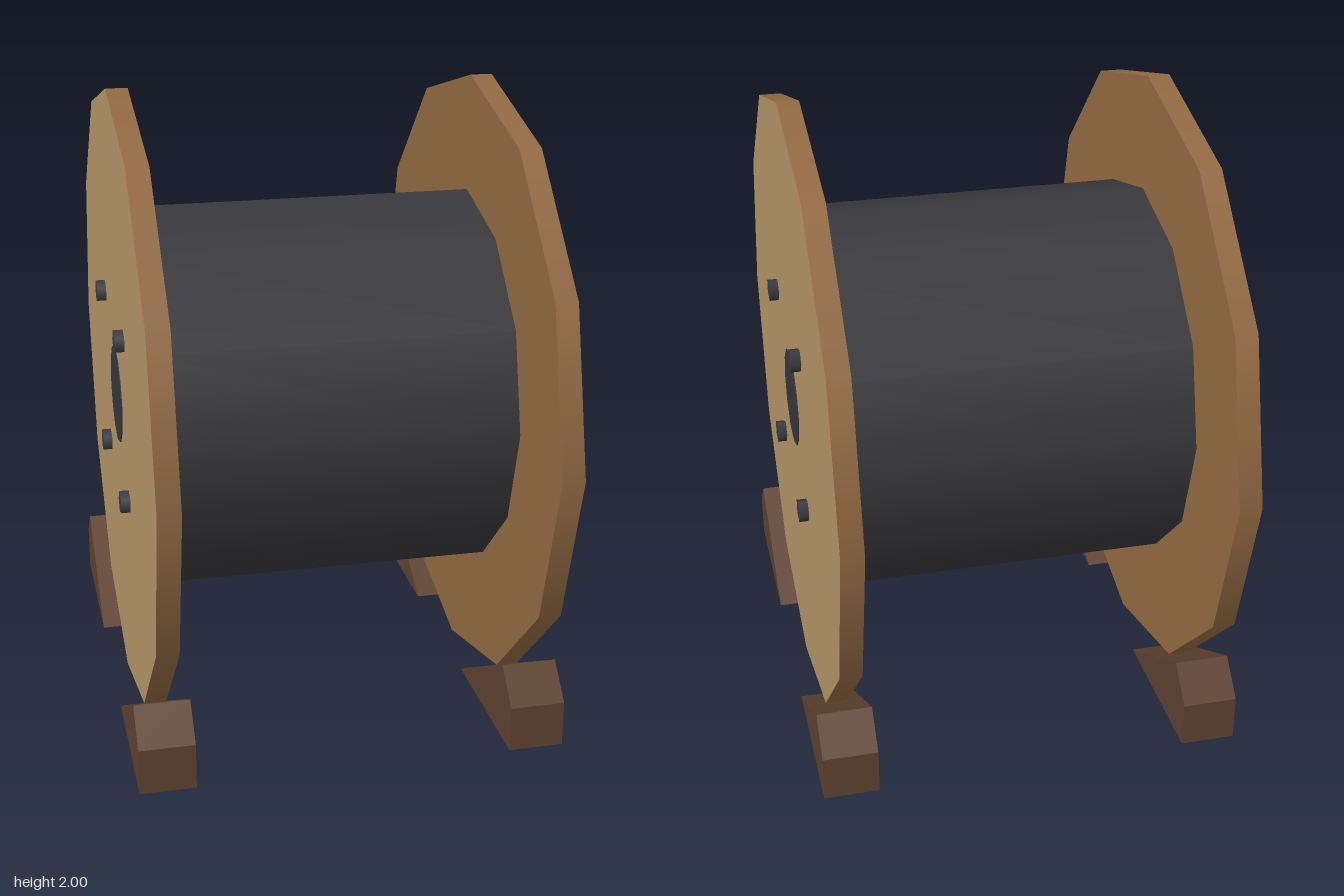
import * as THREE from 'three';

const material = (name, color) => {
  const m = new THREE.MeshStandardMaterial({ color });
  m.name = name;
  return m;
};

export function createModel() {
  const faceWood = material('light wood', 0xb59468);
  const edgeWood = material('brown wood', 0x936a43);
  const chockWood = material('dark wood', 0x5e4230);
  const cableBlack = material('cable black', 0x39393d);
  const hubDark = material('hub dark', 0x37353d);
  const boltSteel = material('bolt steel', 0x3a3c41);

  const model = new THREE.Group();
  model.name = 'cableReel';
  const reel = new THREE.Group();
  reel.name = 'reel';
  reel.position.y = 1;
  model.add(reel);

  const add = (parent, name, geometry, mat, x = 0, y = 0, z = 0) => {
    const mesh = new THREE.Mesh(geometry, mat);
    mesh.name = name;
    mesh.position.set(x, y, z);
    parent.add(mesh);
    return mesh;
  };

  // Cylinder lying along x; its top cap faces +x
  const axle = (radius, width, sides, start = 0) =>
    new THREE.CylinderGeometry(radius, radius, width, sides, 1, false, start).rotateZ(-Math.PI / 2);

  // Wound cable between the flanges
  add(reel, 'cableDrum', axle(0.625, 1.11, 12), cableBlack);

  // Wedge profile, drawn as z across and y up
  const wedge = new THREE.Shape([[0.275, 0], [0.8, 0], [0.8, 0.15], [0.7, 0.25]]
    .map(([z, y]) => new THREE.Vector2(z, y)));
  const chockGeometry = new THREE.ExtrudeGeometry(wedge, { depth: 0.175, bevelEnabled: false })
    .translate(0, 0, -0.0875)
    .rotateY(-Math.PI / 2);
  const flangeGeometry = axle(1, 0.07, 12);
  const hubGeometry = axle(0.16, 0.006, 12);
  const boltGeometry = axle(0.038, 0.04, 5, Math.PI);

  for (const side of [1, -1]) {
    const label = side > 0 ? 'left' : 'right';

    // Flange with a lighter outer face
    const caps = side > 0 ? [faceWood, edgeWood] : [edgeWood, faceWood];
    add(reel, label + 'Flange', flangeGeometry, [edgeWood, ...caps], side * 0.585);
    add(reel, label + 'Hub', hubGeometry, hubDark, side * 0.62);

    // Four bolts around the hub
    for (const y of [-0.269, 0.269])
      for (const z of [-0.269, 0.269])
        add(reel, label + 'Bolt', boltGeometry, boltSteel, side * 0.63, y, z);

    // Chocks in front of and behind the flange
    add(model, label + 'FrontChock', chockGeometry, chockWood, side * 0.5875);
    add(model, label + 'BackChock', chockGeometry, chockWood, side * 0.5875).rotation.y = Math.PI;
  }
  return model;
}
